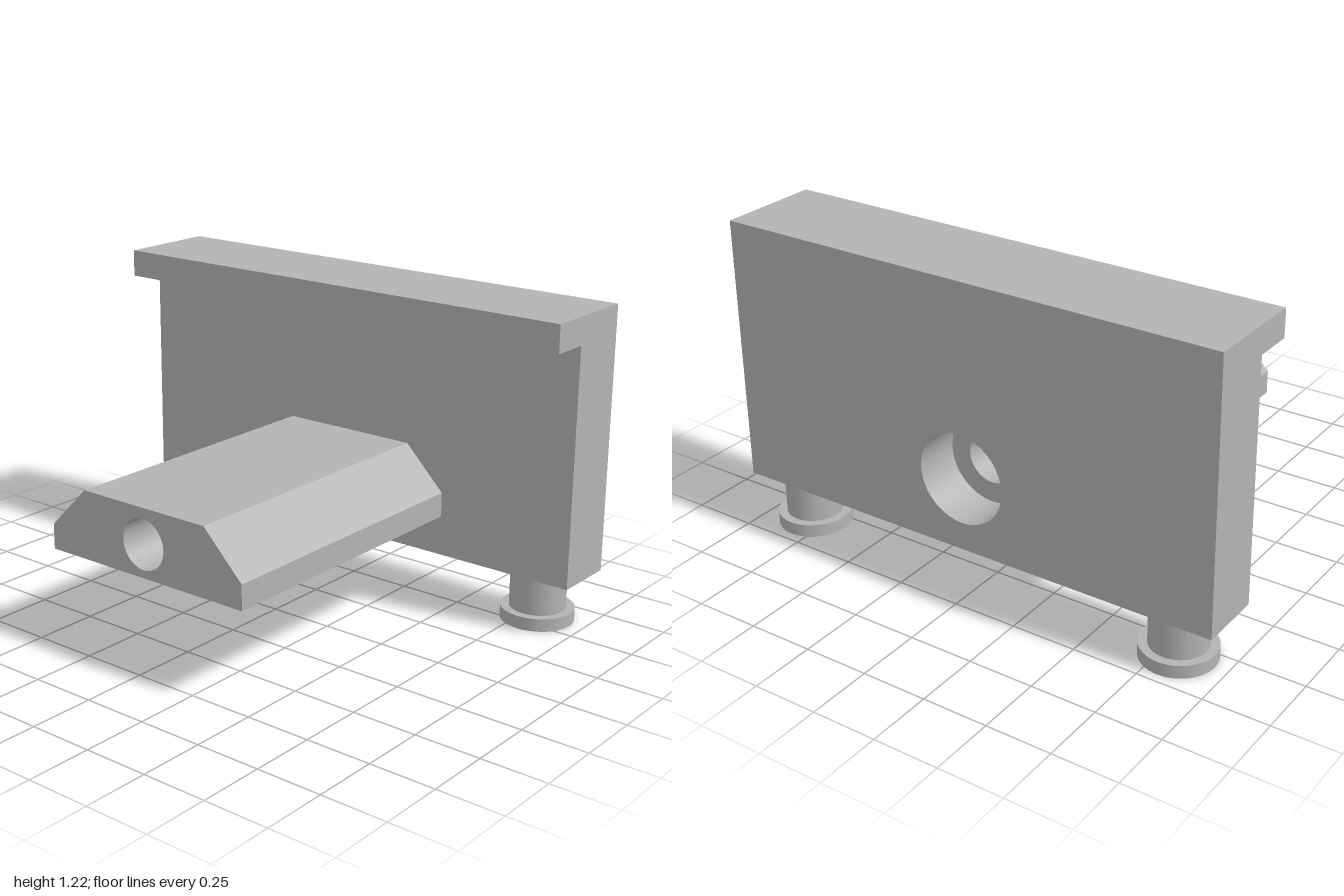
import * as THREE from 'three';

const HALF = 1, BACK = 0.45, FRONT = 0.7, BASE = 0.2, LIP = 1.115, TOP = 1.22;
const ARM_END = -0.715, HOLE_Y = 0.48, BORE_R = 0.095, RECESS_R = 0.173, RECESS_X = 0.52;

export function createModel() {
  const group = new THREE.Group();
  const grey = new THREE.MeshStandardMaterial({ color: 0xb3b3b3, side: THREE.DoubleSide });
  grey.name = 'grey';

  const add = (name, geometry, parent = group) => {
    const mesh = new THREE.Mesh(geometry, grey);
    mesh.name = name;
    parent.add(mesh);
    return mesh;
  };
  const shapeOf = (pts) => new THREE.Shape(pts.map(([x, y]) => new THREE.Vector2(x, y)));
  const circle = (r) => new THREE.Path().absarc(0, HOLE_Y, r, 0, Math.PI * 2, true);

  // flat face at a given x, looking along +x or -x
  const faceX = (name, shape, hole, x, dir) => {
    if (hole) shape.holes.push(hole);
    const g = new THREE.ShapeGeometry(shape, 32);
    g.rotateY(dir * Math.PI / 2);
    g.translate(x, 0, 0);
    return add(name, g);
  };

  // side walls swept along z under an anticlockwise outline
  const walls = (pts, z0, z1, closed) => {
    const pos = [];
    const n = closed ? pts.length : pts.length - 1;
    for (let i = 0; i < n; i++) {
      const [ax, ay] = pts[i], [bx, by] = pts[(i + 1) % pts.length];
      pos.push(ax, ay, z0, bx, by, z0, bx, by, z1, ax, ay, z0, bx, by, z1, ax, ay, z1);
    }
    const g = new THREE.BufferGeometry();
    g.setAttribute('position', new THREE.Float32BufferAttribute(pos, 3));
    g.computeVertexNormals();
    return g;
  };

  // open tube along x
  const tubeX = (name, r, x0, x1) => {
    const g = new THREE.CylinderGeometry(r, r, x1 - x0, 64, 1, true);
    g.rotateZ(Math.PI / 2);
    g.translate((x0 + x1) / 2, HOLE_Y, 0);
    return add(name, g);
  };

  const rect = (y0, y1) => [[-HALF, y0], [HALF, y0], [HALF, y1], [-HALF, y1]];
  const armOutline = [[-0.445, 0.355], [0.445, 0.355], [0.445, 0.45], [0.28, 0.615], [-0.28, 0.615], [-0.445, 0.45]];

  // upright plate with its overhanging lip
  const overhang = [[FRONT, TOP], [0.3, TOP], [0.3, LIP], [BACK, LIP]];
  add('plateTopAndLip', walls(overhang, -HALF, HALF, false));
  add('plateUnderside', walls([[BACK, BASE], [FRONT, BASE]], -HALF, HALF, false));
  const profile = shapeOf([[BACK, BASE], [FRONT, BASE], ...overhang]);
  for (const s of [1, -1]) {
    const g = new THREE.ShapeGeometry(profile);
    if (s < 0) {
      g.rotateY(Math.PI);
      g.translate(FRONT + BACK, 0, 0);
      // restore the lip direction after turning the face round
      const p = g.attributes.position;
      for (let i = 0; i < p.count; i++) p.setX(i, FRONT + BACK - p.getX(i));
      g.index.array.reverse();
    }
    g.translate(0, 0, s * HALF);
    add(s > 0 ? 'plateFrontEnd' : 'plateBackEnd', g);
  }
  faceX('plateOuterFace', shapeOf(rect(BASE, TOP)), circle(RECESS_R), FRONT, 1);
  faceX('plateInnerFace', shapeOf(rect(BASE, LIP)), shapeOf(armOutline), BACK, -1);

  // round recess and the bore running on through the arm
  tubeX('recessWall', RECESS_R, RECESS_X, FRONT);
  faceX('recessFloor', new THREE.Shape().absarc(0, HOLE_Y, RECESS_R, 0, Math.PI * 2), circle(BORE_R), RECESS_X, 1);
  tubeX('boreWall', BORE_R, ARM_END, RECESS_X);

  // chamfered arm
  const arm = walls(armOutline, ARM_END, BACK, true);
  arm.rotateY(Math.PI / 2);
  add('arm', arm);
  faceX('armEnd', shapeOf(armOutline), circle(BORE_R), ARM_END, -1);

  // two flanged feet
  for (const z of [0.81, -0.81]) {
    const foot = new THREE.Group();
    foot.name = z > 0 ? 'frontFoot' : 'backFoot';
    foot.position.set(0.575, 0, z);
    add('flange', new THREE.CylinderGeometry(0.14, 0.14, 0.05, 48), foot).position.y = 0.025;
    add('stem', new THREE.CylinderGeometry(0.107, 0.107, 0.15, 48, 1, true), foot).position.y = 0.125;
    group.add(foot);
  }
  return group;
}
